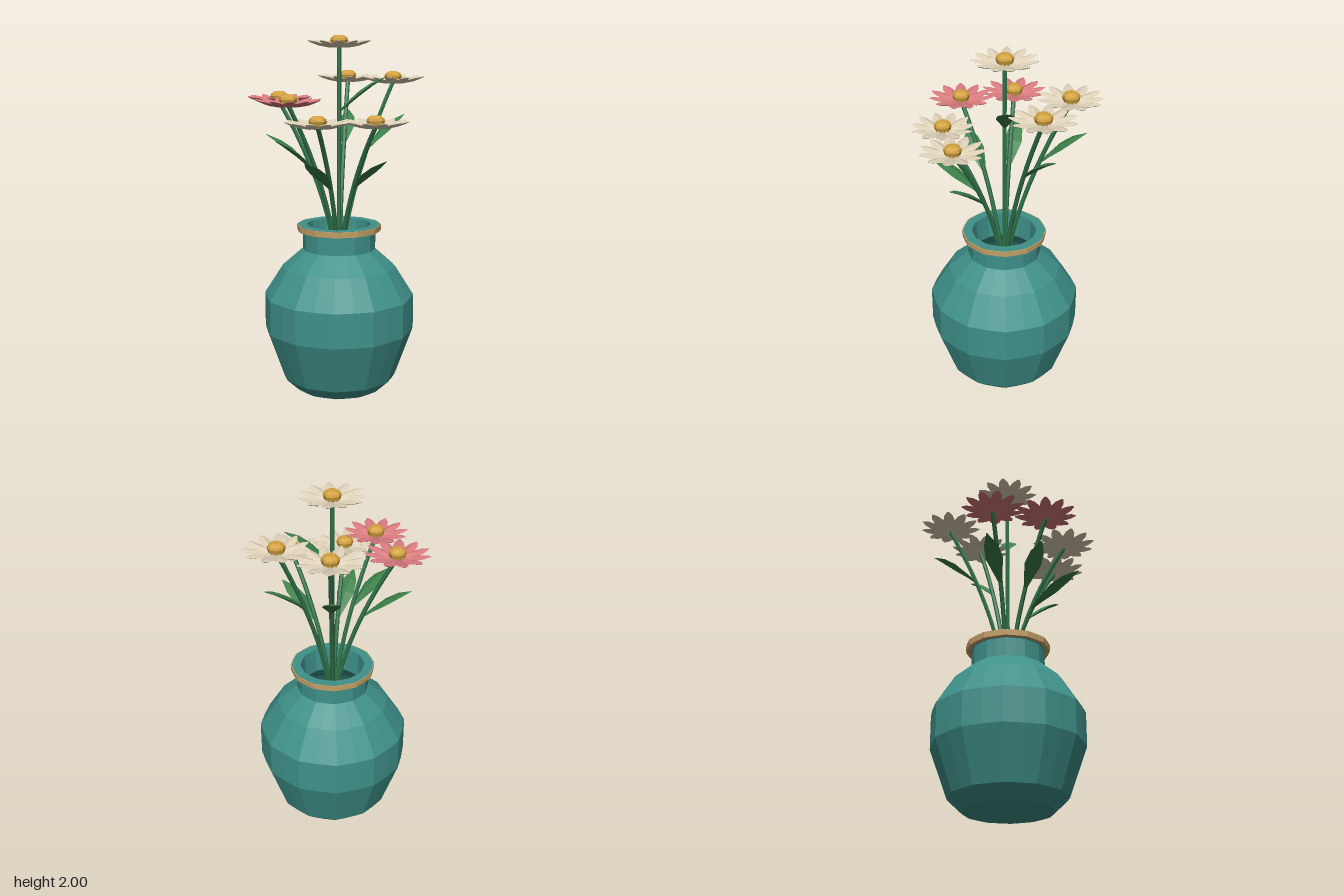
import * as THREE from 'three';
import { mergeGeometries } from 'three/addons/utils/BufferGeometryUtils.js';

function mat(name, color) {
  const m = new THREE.MeshStandardMaterial({ color, flatShading: true });
  m.name = name;
  return m;
}

const V = (x, y, z) => new THREE.Vector3(x, y, z);
const CX = 0.02, CZ = 0.01;

// Diamond-section blade along +z; rows are [z, halfWidth, y, halfThickness]
function blade(rows) {
  const pos = [], idx = [];
  for (const [z, w, y, h] of rows) pos.push(-w, y, z, 0, y + h, z, w, y, z, 0, y - h, z);
  for (let i = 0; i < rows.length - 1; i++) {
    for (let j = 0; j < 4; j++) {
      const a = i * 4 + j, b = i * 4 + (j + 1) % 4;
      idx.push(a, a + 4, b + 4, a, b + 4, b);
    }
  }
  const e = (rows.length - 1) * 4;
  idx.push(0, 1, 2, 0, 2, 3, e, e + 2, e + 1, e, e + 3, e + 2);
  const g = new THREE.BufferGeometry();
  g.setAttribute('position', new THREE.Float32BufferAttribute(pos, 3));
  g.setIndex(idx);
  const flat = g.toNonIndexed();
  flat.computeVertexNormals();
  return flat;
}

// Lathe with twelve soft vertical lobes
function lobedLathe(profile) {
  const g = new THREE.LatheGeometry(profile.map(([r, y]) => new THREE.Vector2(r, y)), 24);
  const p = g.attributes.position;
  for (let i = 0; i < p.count; i++) {
    const x = p.getX(i), z = p.getZ(i);
    const k = 0.988 + 0.012 * Math.cos(12 * Math.atan2(x, z));
    p.setX(i, x * k);
    p.setZ(i, z * k);
  }
  g.computeVertexNormals();
  return g;
}

// Eleven slightly cupped petals
function petalRing() {
  const petal = blade([
    [0.015, 0.008, 0, 0.008],
    [0.06, 0.021, 0.004, 0.012],
    [0.11, 0.033, 0.013, 0.012],
    [0.148, 0.025, 0.023, 0.009],
    [0.176, 0.005, 0.03, 0.003],
  ]);
  const list = [];
  for (let i = 0; i < 11; i++) list.push(petal.clone().rotateY((i / 11) * Math.PI * 2));
  return mergeGeometries(list);
}

export function createModel() {
  const root = new THREE.Group();
  root.name = 'vaseOfFlowers';
  const teal = mat('teal glaze', 0x3f918a);
  const tan = mat('tan rim', 0xcaa66a);
  const stemGreen = mat('stem green', 0x2f7049);
  const leafGreen = mat('leaf green', 0x3c8049);
  const cream = mat('cream petal', 0xdccfb6);
  const pink = mat('pink petal', 0xd6797c);
  const gold = mat('golden centre', 0xd3a23f);

  const add = (parent, name, geo, material) => {
    const m = new THREE.Mesh(geo, material);
    m.name = name;
    parent.add(m);
    return m;
  };

  // Hollow vase
  const vase = add(root, 'vase', lobedLathe([
    [0, 0], [0.25, 0], [0.325, 0.07], [0.425, 0.35], [0.425, 0.545], [0.32, 0.71],
    [0.206, 0.81], [0.206, 0.915], [0.23, 0.92], [0.234, 0.95],
    [0.182, 0.95], [0.172, 0.81], [0.28, 0.7], [0.385, 0.54], [0.385, 0.36],
    [0.28, 0.09], [0, 0.09],
  ]), teal);
  const band = add(root, 'rimBand', lobedLathe([
    [0.205, 0.916], [0.236, 0.916], [0.239, 0.949], [0.233, 0.949],
  ]), tan);
  vase.position.set(CX, 0, CZ);
  band.position.set(CX, 0, CZ);

  const petals = petalRing();
  const centre = new THREE.LatheGeometry([
    [0, 0], [0.04, 0], [0.049, 0.032], [0.045, 0.044], [0.026, 0.058], [0, 0.06],
  ].map(([r, y]) => new THREE.Vector2(r, y)), 8);

  // Head position, petal colour, leaf tip, petal turn
  const flowers = [
    [V(0.05, 1.738, -0.34), cream, V(0.05, 1.56, -0.43), 3.03],
    [V(0.315, 1.738, -0.18), cream, V(0.38, 1.55, -0.24), 3.34],
    [V(0.02, 1.94, 0.005), cream, V(0.27, 1.77, 0.005), 2.91],
    [V(-0.32, 1.632, -0.055), pink, V(-0.4, 1.445, -0.08), 3.25],
    [V(-0.235, 1.632, 0.24), pink, V(-0.31, 1.44, 0.22), 3.03],
    [V(-0.07, 1.526, 0.34), cream, V(-0.13, 1.345, 0.42), -0.17],
    [V(0.23, 1.526, 0.28), cream, V(0.29, 1.345, 0.3), 3.14],
  ];

  for (const [head, colour, tip, turn] of flowers) {
    const flower = new THREE.Group();
    flower.name = 'flower';
    root.add(flower);

    // Curved stem
    const curve = new THREE.QuadraticBezierCurve3(V(CX, 0.5, CZ), V(CX, 1.05, CZ), head);
    add(flower, 'stem', new THREE.TubeGeometry(curve, 12, 0.0125, 6), stemGreen);

    // Flower head
    const ring = add(flower, 'petals', petals, colour);
    ring.position.copy(head);
    ring.rotation.y = turn;
    add(flower, 'flowerCentre', centre, gold).position.copy(head);

    // Leaf from the stem point a little below its tip
    let base = head;
    for (let t = 1; t > 0 && base.y > tip.y - 0.18; t -= 0.01) base = curve.getPoint(t);
    const dir = tip.clone().sub(base), len = dir.length();
    const z = dir.normalize();
    const x = V(0, 1, 0).cross(z).normalize();
    const y = z.clone().cross(x);
    const leafGeo = blade([
      [0, 0.006, 0, 0.005],
      [len * 0.22, 0.026, 0.008, 0.009],
      [len * 0.5, 0.05, 0.014, 0.011],
      [len * 0.75, 0.041, 0.012, 0.009],
      [len, 0.003, 0, 0.002],
    ]);
    const leaf = add(flower, 'leaf', leafGeo, leafGreen);
    leaf.quaternion.setFromRotationMatrix(new THREE.Matrix4().makeBasis(x, y, z));
    leaf.position.copy(base);
  }
  return root;
}
